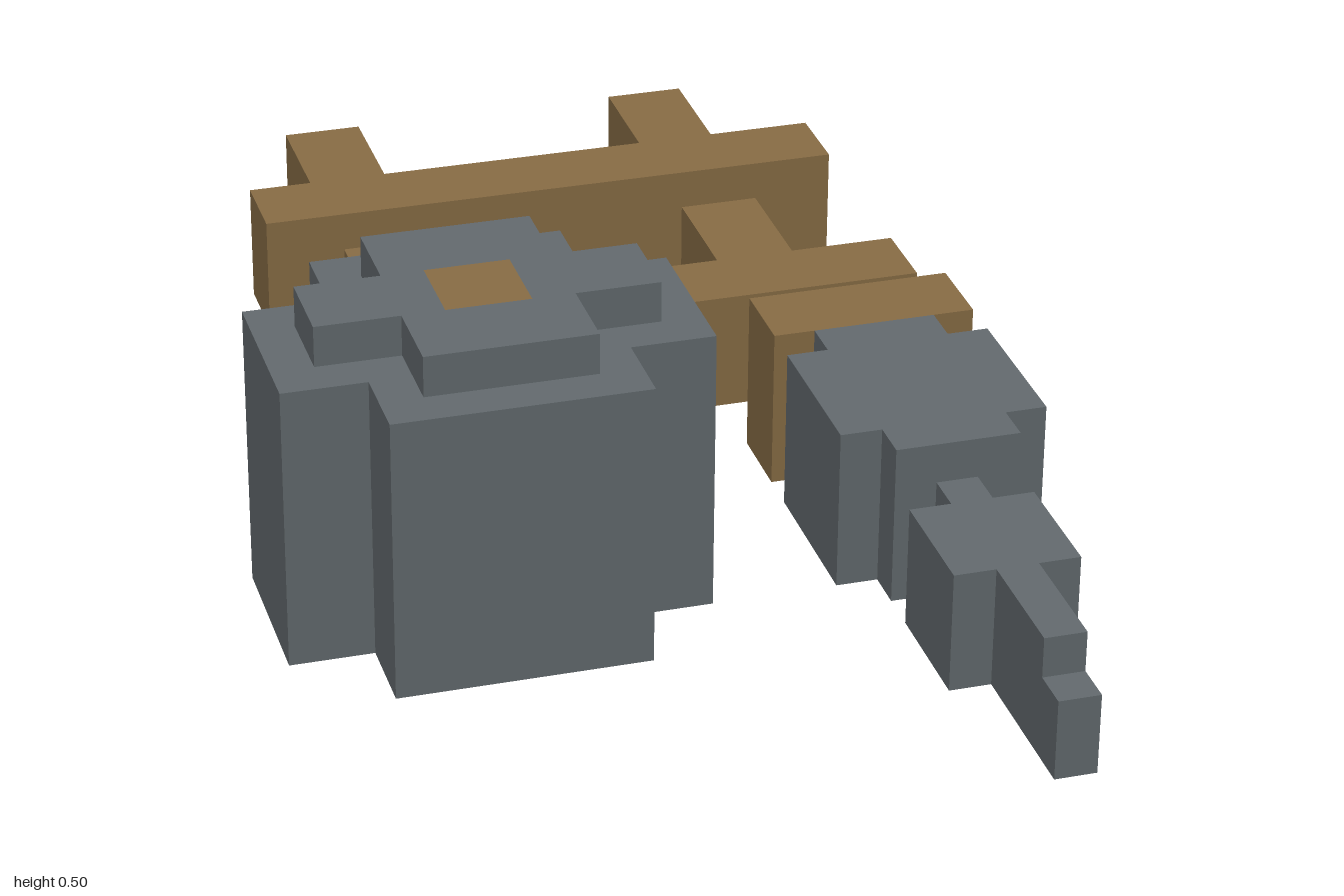
import * as THREE from 'three';

const U = 1 / 16; // block grid unit

export function createModel() {
  const model = new THREE.Group();
  const wood = new THREE.MeshStandardMaterial({ color: 0x866b44 });
  wood.name = 'brown wood';
  const steel = new THREE.MeshStandardMaterial({ color: 0x62696d });
  steel.name = 'grey steel';

  const add = (name, geometry, material, parent) => {
    const mesh = new THREE.Mesh(geometry, material);
    mesh.name = name;
    parent.add(mesh);
    return mesh;
  };

  const group = (name) => {
    const g = new THREE.Group();
    g.name = name;
    model.add(g);
    return g;
  };

  // Box given by its limits in grid units
  const block = (name, [x0, x1], [y0, y1], [z0, z1], material, parent) => {
    const geometry = new THREE.BoxGeometry((x1 - x0) * U, (y1 - y0) * U, (z1 - z0) * U);
    add(name, geometry, material, parent)
      .position.set((x0 + x1) / 2 * U, (y0 + y1) / 2 * U, (z0 + z1) / 2 * U);
  };

  // Upright plus-shaped prism: half extents of the arms (ax, az) and of the core (bx, bz)
  const cross = (name, cx, cz, ax, az, bx, bz, y0, y1, material, parent, hole = 0) => {
    const outline = [
      [ax, -bz], [ax, bz], [bx, bz], [bx, az], [-bx, az], [-bx, bz],
      [-ax, bz], [-ax, -bz], [-bx, -bz], [-bx, -az], [bx, -az], [bx, -bz],
    ];
    const shape = new THREE.Shape(outline.map(([x, y]) => new THREE.Vector2(x * U, y * U)));
    if (hole) {
      const h = hole * U;
      shape.holes.push(new THREE.Path([[-h, -h], [-h, h], [h, h], [h, -h]]
        .map(([x, y]) => new THREE.Vector2(x, y))));
    }
    const geometry = new THREE.ExtrudeGeometry(shape, { depth: (y1 - y0) * U, bevelEnabled: false });
    geometry.rotateX(-Math.PI / 2);
    add(name, geometry, material, parent).position.set(cx * U, y0 * U, cz * U);
  };

  // Hammer: long handle, stepped head, handle core showing through top and bottom
  const hammer = group('hammer');
  block('hammerHandle', [-4, -2], [0, 2], [-16, 1], wood, hammer);
  cross('hammerHead', -4, 5, 5, 4, 3, 2, 0, 7, steel, hammer, 1);
  cross('hammerCap', -4, 5, 4, 3, 2, 1, 7, 8, steel, hammer, 1);
  block('hammerCore', [-5, -3], [0, 8], [4, 6], wood, hammer);

  // Spear: handle, collar and a blade narrowing to a point
  const spear = group('spear');
  block('spearHandle', [5, 7], [0, 2], [-16, 0], wood, spear);
  block('spearCollar', [4, 9], [0, 4], [0, 2], wood, spear);
  cross('bladeBase', 6.5, 5, 2.5, 3, 1.5, 2, 0, 4, steel, spear);
  block('bladeNeck', [6, 7], [0, 3], [8, 9], steel, spear);
  block('bladeMiddle', [5, 8], [0, 3], [9, 12], steel, spear);
  block('bladePoint', [6, 7], [0, 3], [12, 15], steel, spear);
  block('bladeTip', [6, 7], [0, 2], [15, 16], steel, spear);

  // Rack bars lying across both handles
  const rack = group('rack');
  for (const z of [-11, -4]) block('crossBar', [-6, 9], [0, 3], [z, z + 2], wood, rack);

  return model;
}
